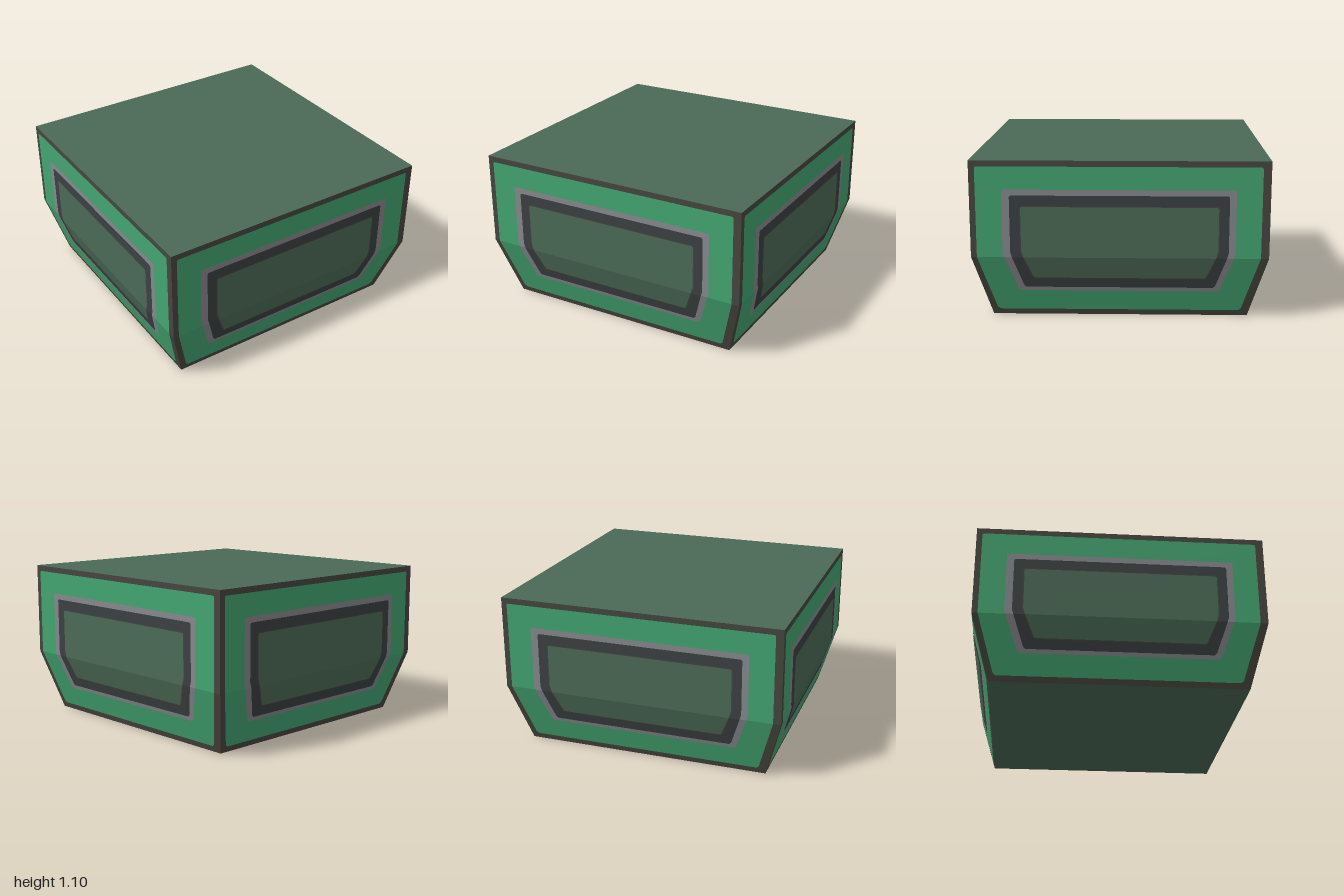
import * as THREE from 'three';

const KNEE = 0.44, HEIGHT = 1.1, FOOT = 0.875;

// Distance of the wall from the centre at height y: tapered below the knee, upright above
const wallDepth = (y) => (y < KNEE ? FOOT + (1 - FOOT) * (y / KNEE) : 1);

// Sheet that follows the wall; rows are [y, halfWidth] from bottom to top
function wallSheet(rows, lift, shift) {
  const pos = [];
  for (let i = 0; i < rows.length - 1; i++) {
    const [y0, w0] = rows[i], [y1, w1] = rows[i + 1];
    const z0 = wallDepth(y0) + lift, z1 = wallDepth(y1) + lift;
    const a = [shift - w0, y0, z0], b = [shift + w0, y0, z0];
    const c = [shift + w1, y1, z1], d = [shift - w1, y1, z1];
    pos.push(...a, ...b, ...c, ...a, ...c, ...d);
  }
  const geo = new THREE.BufferGeometry();
  geo.setAttribute('position', new THREE.Float32BufferAttribute(pos, 3));
  geo.computeVertexNormals();
  return geo;
}

export function createModel() {
  const mat = (name, color) => {
    const m = new THREE.MeshStandardMaterial({ color });
    m.name = name;
    return m;
  };
  const edge = mat('dark edge', 0x46453e);
  const green = mat('green', 0x42a470);
  const grey = mat('grey trim', 0x87888c);
  const charcoal = mat('charcoal', 0x3b4042);
  const moss = mat('moss green', 0x4b6a56);

  // Nested layers of one side, from the wall outwards
  const layers = [
    { name: 'wall', m: edge, shift: 0, rows: [[0, FOOT], [KNEE, 1], [HEIGHT, 1]] },
    { name: 'greenPanel', m: green, shift: -0.007,
      rows: [[0.04, 0.82], [0.055, 0.838], [KNEE, 0.953], [1.05, 0.953], [1.06, 0.945]] },
    { name: 'greyTrim', m: grey, shift: -0.005,
      rows: [[0.188, 0.67], [0.2, 0.685], [KNEE, 0.772], [0.47, 0.78], [0.905, 0.78]] },
    { name: 'charcoalFrame', m: charcoal, shift: -0.002,
      rows: [[0.215, 0.635], [0.23, 0.65], [KNEE, 0.722], [0.475, 0.732], [0.855, 0.732], [0.865, 0.722]] },
    { name: 'windowRim', m: edge, shift: 0,
      rows: [[0.28, 0.58], [0.295, 0.593], [KNEE, 0.654], [0.49, 0.668], [0.785, 0.668], [0.794, 0.655]] },
    { name: 'windowPanel', m: moss, shift: 0,
      rows: [[0.287, 0.575], [0.3, 0.585], [KNEE, 0.645], [0.49, 0.66], [0.78, 0.66], [0.788, 0.65]] },
  ];

  const model = new THREE.Group();
  model.name = 'taperedBox';

  // Four identical sides
  ['front', 'left', 'back', 'right'].forEach((side, k) => {
    const g = new THREE.Group();
    g.name = side + 'Side';
    layers.forEach((l, i) => {
      const mesh = new THREE.Mesh(wallSheet(l.rows, i * 0.001, l.shift), l.m);
      mesh.name = l.name;
      g.add(mesh);
    });
    g.rotation.y = (k * Math.PI) / 2;
    model.add(g);
  });

  // Flat lid and base
  const cap = (name, size, y, turn) => {
    const mesh = new THREE.Mesh(new THREE.PlaneGeometry(size, size), moss);
    mesh.name = name;
    mesh.rotation.x = turn;
    mesh.position.y = y;
    model.add(mesh);
  };
  cap('lid', 2, HEIGHT, -Math.PI / 2);
  cap('base', 2 * FOOT, 0, Math.PI / 2);

  return model;
}
